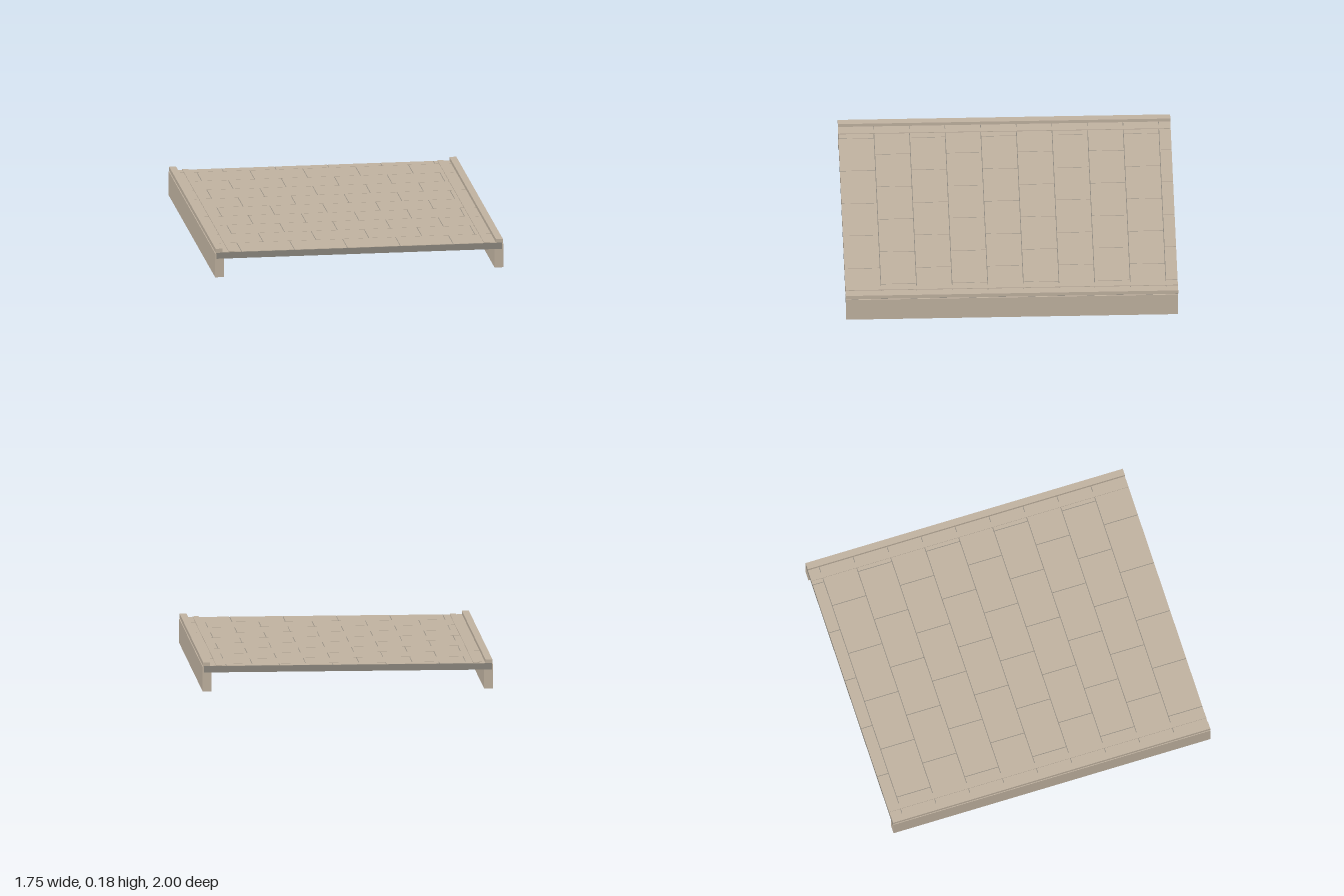
import * as THREE from 'three';

export function createModel() {
  const model = new THREE.Group();
  model.name = 'pavedDeck';
  const stone = new THREE.MeshStandardMaterial({ name: 'sandStone', color: 0xc2b4a2 });
  const mortar = new THREE.MeshStandardMaterial({ name: 'greyConcrete', color: 0x8e8980 });

  // Box given by its minimum and maximum corners
  function box(name, material, x0, x1, y0, y1, z0, z1, parent = model) {
    const mesh = new THREE.Mesh(new THREE.BoxGeometry(x1 - x0, y1 - y0, z1 - z0), material);
    mesh.position.set((x0 + x1) / 2, (y0 + y1) / 2, (z0 + z1) / 2);
    mesh.name = name;
    parent.add(mesh);
  }

  // Concrete slab, showing in the joints and at both ends
  box('deckSlab', mortar, -0.868, 0.868, 0.115, 0.1535, -1, 1);

  // Paving in running bond, clipped to the deck edges
  const paving = new THREE.Group();
  paving.name = 'paving';
  model.add(paving);
  const length = 0.3214, depth = 0.2143, gap = 0.002, edge = 0.845;
  for (let row = 0; row < 10; row++) {
    const zFar = 1 - row * depth;
    const z0 = Math.max(zFar - depth + gap, -1);
    const z1 = row === 0 ? 1 : zFar - gap;
    const start = -0.875 - (row % 2 ? 0 : length / 2);
    for (let i = 0; i < 7; i++) {
      const x0 = Math.max(start + i * length + gap, -edge);
      const x1 = Math.min(start + (i + 1) * length - gap, edge);
      if (x1 - x0 > 0.005) box('pavingSlab', stone, x0, x1, 0.153, 0.1555, z0, z1, paving);
    }
  }

  // Side beams, kerb rails and low edging strips
  for (const side of [-1, 1]) {
    const mirrored = (name, a, b, y0, y1, z) =>
      box(name, stone, Math.min(side * a, side * b), Math.max(side * a, side * b), y0, y1, -z, z);
    mirrored('sideBeam', 0.822, 0.875, 0, 0.148, 0.999);
    mirrored('kerbRail', 0.83, 0.872, 0.152, 0.177, 1);
    mirrored('edgingStrip', 0.757, 0.793, 0.153, 0.16, 1);
  }
  return model;
}
